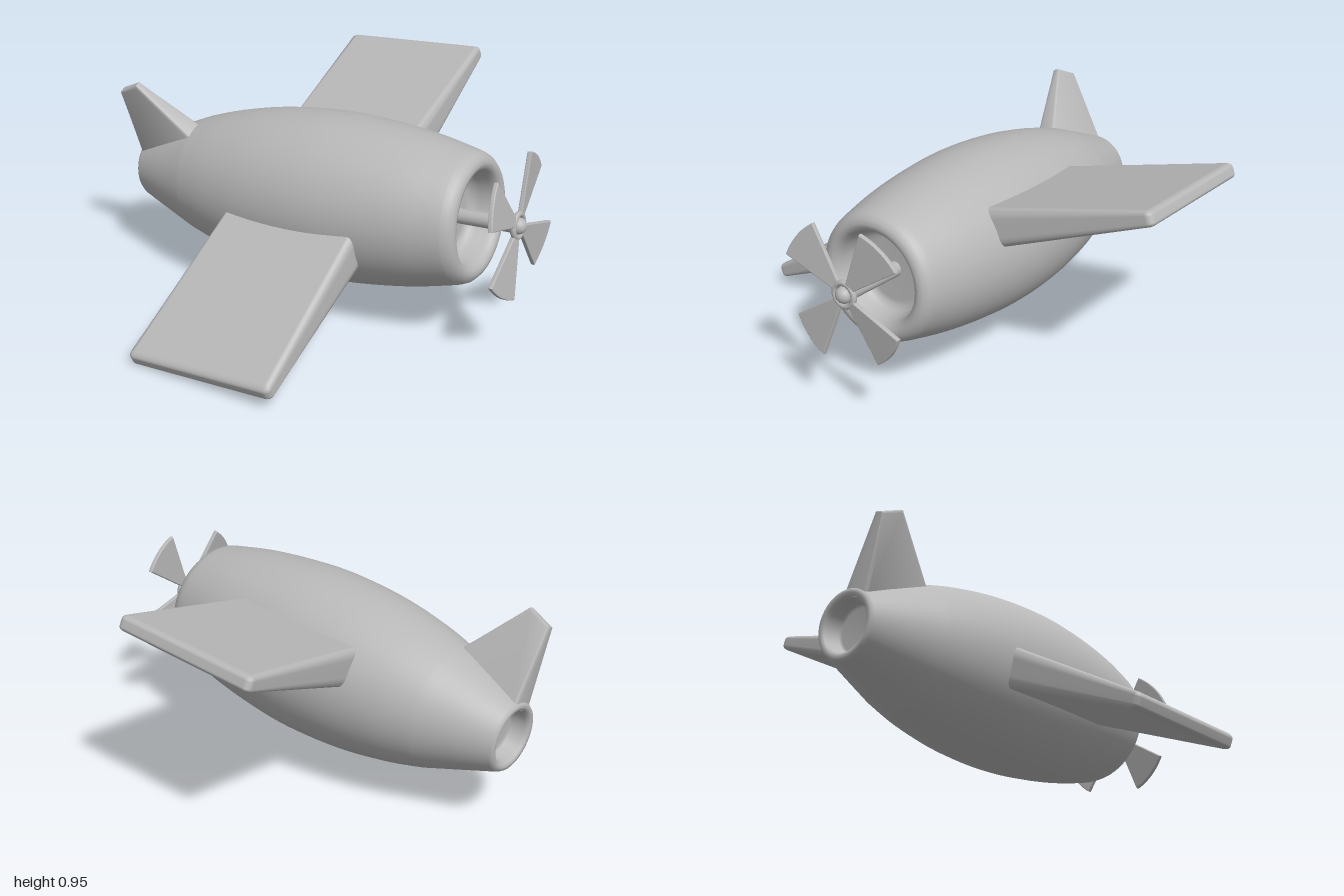
import * as THREE from 'three';
import { mergeVertices, toCreasedNormals } from 'three/addons/utils/BufferGeometryUtils.js';
import { RoundedBoxGeometry } from 'three/addons/geometries/RoundedBoxGeometry.js';

const grey = new THREE.MeshStandardMaterial({ color: 0xb8b8b8 });
grey.name = 'plain grey';

function add(parent, name, geometry) {
  const mesh = new THREE.Mesh(geometry, grey);
  mesh.name = name;
  parent.add(mesh);
  return mesh;
}

// Moves every vertex by a rule, then rebuilds the normals
function reshape(geometry, rule, crease) {
  const p = geometry.attributes.position;
  const v = new THREE.Vector3();
  for (let i = 0; i < p.count; i++) {
    rule(v.fromBufferAttribute(p, i));
    p.setXYZ(i, v.x, v.y, v.z);
  }
  geometry.deleteAttribute('normal');
  geometry.deleteAttribute('uv');
  geometry.clearGroups();
  const merged = mergeVertices(geometry, 1e-4);
  merged.computeVertexNormals();
  return crease ? toCreasedNormals(merged, crease) : merged;
}

// Lathe about the long axis; points are [position along axis, radius]
function turned(points, segments) {
  return new THREE.LatheGeometry(points.map(([s, r]) => new THREE.Vector2(r, s)), segments).rotateZ(-Math.PI / 2);
}

// Barrel body with a recess at the nose and at the tail
function fuselageGeometry() {
  const curve = new THREE.SplineCurve([
    [-0.62, 0.275], [-0.47, 0.316], [-0.275, 0.352], [-0.09, 0.37], [0.1, 0.374],
    [0.3, 0.36], [0.5, 0.333], [0.66, 0.299], [0.715, 0.285],
  ].map(([s, r]) => new THREE.Vector2(s, r)));
  const side = curve.getPoints(40).map((p) => [p.x, p.y]);
  return turned([
    [-0.87, 0], [-0.87, 0.095], [-0.88, 0.105], [-0.935, 0.112], [-0.95, 0.12], [-0.956, 0.132],
    [-0.954, 0.146], [-0.94, 0.156], [-0.78, 0.216], [-0.635, 0.27],
    ...side,
    [0.738, 0.275], [0.755, 0.258], [0.762, 0.238], [0.758, 0.22], [0.745, 0.207], [0.72, 0.198],
    [0.67, 0.188], [0.64, 0.178], [0.625, 0.16], [0.62, 0.14], [0.62, 0],
  ], 64);
}

// Tapered, slightly swept and drooping wing; side is +1 or -1 along z
function wingGeometry(side) {
  const span = 0.97, tip = 1.07;
  return reshape(new RoundedBoxGeometry(0.68, 0.1, span, 4, 0.028), (v) => {
    const out = v.z * side + span / 2;
    const t = out / span;
    const z = tip - span + out;
    v.x = v.x * (0.96 + 0.08 * t) + 0.035 - 0.08 * t;
    v.y = v.y * (2.1 - 1.45 * t) + 0.065 - 0.085 * t;
    v.z = side * z;
  });
}

// Tail fin, thick at the base and thin at the tip
function finGeometry() {
  const shape = new THREE.Shape([
    [-0.935, 0.13], [-0.55, 0.2], [-0.635, 0.265], [-0.84, 0.505], [-0.932, 0.465],
  ].map(([x, y]) => new THREE.Vector2(x, y)));
  const geometry = new THREE.ExtrudeGeometry(shape, {
    depth: 0.07, bevelEnabled: true, bevelThickness: 0.015, bevelSize: 0.013, bevelSegments: 3,
  }).translate(0, 0, -0.035);
  return reshape(geometry, (v) => {
    v.z *= THREE.MathUtils.mapLinear(v.y, 0.15, 0.5, 1.25, 0.38);
  }, 0.6);
}

// Four sector blades around a ring, a round boss and a shaft
function propeller() {
  const group = new THREE.Group();
  group.name = 'propeller';
  const half = 0.325;
  const shape = new THREE.Shape();
  shape.absarc(0, 0, 0.305, -half, half, false);
  shape.absarc(0, 0, 0.05, half, -half, true);
  for (let i = 0; i < 4; i++) {
    const blade = new THREE.ExtrudeGeometry(shape, {
      depth: 0.012, bevelEnabled: true, bevelThickness: 0.004, bevelSize: 0.004, bevelSegments: 2, curveSegments: 10,
    });
    blade.translate(0, 0, -0.006).rotateX(0.13);
    blade.rotateZ(THREE.MathUtils.degToRad(30 + 90 * i)).rotateY(Math.PI / 2);
    add(group, 'blade', blade);
  }
  add(group, 'hubRing', new THREE.TorusGeometry(0.05, 0.013, 10, 32).rotateY(Math.PI / 2));
  add(group, 'boss', new THREE.SphereGeometry(0.036, 24, 16));
  add(group, 'shaft', new THREE.CylinderGeometry(0.033, 0.033, 0.32, 24).rotateZ(Math.PI / 2).translate(-0.16, 0, 0));
  group.position.x = 0.931;
  return group;
}

export function createModel() {
  const model = new THREE.Group();
  model.name = 'toyAirplane';

  // The whole aircraft banks, yaws and climbs a little
  const plane = new THREE.Group();
  plane.name = 'airplane';
  plane.position.set(0, 0.518, 0.008);
  plane.rotation.set(0.42, 0.09, 0.075, 'ZYX');
  model.add(plane);

  add(plane, 'fuselage', fuselageGeometry());
  add(plane, 'leftWing', wingGeometry(1));
  add(plane, 'rightWing', wingGeometry(-1));
  add(plane, 'tailFin', finGeometry());
  plane.add(propeller());
  return model;
}
